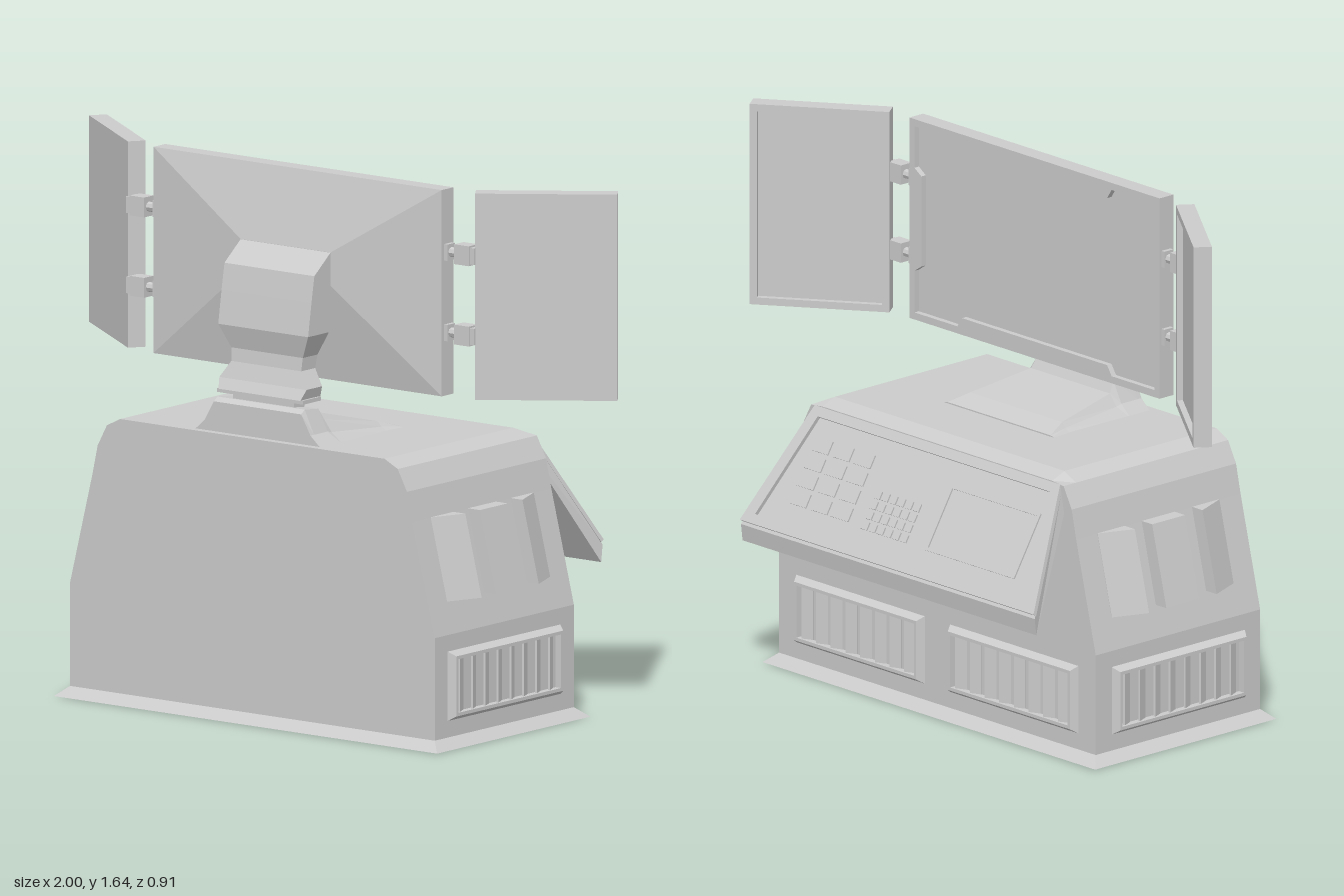
import * as THREE from 'three';

const grey = new THREE.MeshStandardMaterial({ color: 0xcccccc, flatShading: true, side: THREE.DoubleSide });

function add(parent, name, geometry, x = 0, y = 0, z = 0) {
  const mesh = new THREE.Mesh(geometry, grey);
  mesh.name = name;
  mesh.position.set(x, y, z);
  parent.add(mesh);
  return mesh;
}

function group(parent, name, x = 0, y = 0, z = 0, turn = 0) {
  const g = new THREE.Group();
  g.name = name;
  g.position.set(x, y, z);
  g.rotation.y = turn;
  parent.add(g);
  return g;
}

const box = (w, h, d) => new THREE.BoxGeometry(w, h, d);

// Skin over equal-length rings of [x, y, z], counter-clockwise seen from the last ring
function loft(rings, capped = true) {
  const out = [];
  const n = rings[0].length;
  for (let i = 0; i < rings.length - 1; i++) {
    for (let j = 0; j < n; j++) {
      const k = (j + 1) % n;
      const [a, b, c, d] = [rings[i][j], rings[i][k], rings[i + 1][k], rings[i + 1][j]];
      out.push(...a, ...b, ...c, ...a, ...c, ...d);
    }
  }
  const cap = (ring, flip) => {
    const mid = [0, 1, 2].map(q => ring.reduce((s, p) => s + p[q], 0) / n);
    ring.forEach((p, j) => {
      const next = ring[(j + 1) % n];
      out.push(...mid, ...(flip ? next : p), ...(flip ? p : next));
    });
  };
  if (capped) {
    cap(rings[0], true);
    cap(rings[rings.length - 1], false);
  }
  const g = new THREE.BufferGeometry();
  g.setAttribute('position', new THREE.Float32BufferAttribute(out, 3));
  g.computeVertexNormals();
  return g;
}

const flatRing = (y, w, zb, zf) => [[w, y, zf], [w, y, zb], [-w, y, zb], [-w, y, zf]];
const faceRing = (w, h, z) => [[w, -h, z], [w, h, z], [-w, h, z], [-w, -h, z]];
const mirrored = half => [...half, ...half.slice().reverse().map(([x, y]) => [-x, y])];
const shapeOf = pts => new THREE.Shape(pts.map(p => new THREE.Vector2(...p)));

function frameGeometry(outer, inner, depth) {
  const shape = shapeOf(outer);
  shape.holes.push(shapeOf(inner));
  return new THREE.ExtrudeGeometry(shape, { depth, bevelEnabled: false });
}

// Bevelled grille facing +z
function vent(parent, name, w, h, x, y, z, turn) {
  const g = group(parent, name, x, y, z, turn);
  const a = w / 2, b = h / 2;
  add(g, 'ventFrame', loft([faceRing(a, b, 0), faceRing(a - 0.014, b - 0.014, 0.022),
    faceRing(a - 0.024, b - 0.024, 0.022), faceRing(a - 0.024, b - 0.024, 0)], false));
  const count = 8, pitch = (w - 0.048) / count;
  for (let i = 0; i < count; i++) {
    const slat = add(g, 'ventSlat', box(pitch * 0.6, h - 0.045, 0.006), (i - (count - 1) / 2) * pitch, 0, 0.006);
    slat.rotation.y = 0.4;
  }
}

// Monitor whose recessed face looks toward -z; tab thickens the middles of the rim
function monitor(g, w, h, t, tab) {
  const a = w / 2, b = h / 2, i = a - 0.022, j = b - 0.022;
  add(g, 'monitorShell', box(w, h, t - 0.018), 0, 0, 0.009);
  let inner = [[i, -j], [i, j], [-i, j], [-i, -j]];
  if (tab) {
    const p = a * 0.58, q = b * 0.45, e = 0.02;
    inner = mirrored([[p, -j + tab], [p + e, -j], [i, -j], [i, -q - e], [i - tab, -q],
      [i - tab, q], [i, q + e], [i, j], [p + e, j], [p, j - tab]]);
  }
  add(g, 'monitorBezel', frameGeometry([[a, -b], [a, b], [-a, b], [-a, -b]], inner, 0.018), 0, 0, -t / 2);
}

export function createModel() {
  const model = new THREE.Group();
  model.name = 'controlStation';

  // Cabinet with sloped shoulders and a flared skirt
  const outline = mirrored([[0.69, 0.03], [0.69, 0.34], [0.605, 0.68], [0.585, 0.77], [0.55, 0.835], [0.5, 0.86]]);
  const section = (z, top) => outline.map(([x, y]) => [x, Math.min(y, top), z]);
  add(model, 'cabinet', loft([section(-0.25, 0.84), section(-0.2, 1), section(0.417, 1)]));
  add(model, 'skirt', loft([flatRing(0, 0.725, -0.285, 0.45), flatRing(0.03, 0.69, -0.25, 0.417)]));

  // Grilles on both sides and on the back
  for (const s of [1, -1]) {
    vent(model, 'sideVent', 0.54, 0.21, s * 0.69, 0.185, 0.085, s * Math.PI / 2);
    vent(model, 'backVent', 0.56, 0.21, s * 0.335, 0.185, -0.25, Math.PI);
  }

  // Three fins on each sloped flank: wedges outside, a block between
  const fin = (z0, h0, z1, h1) => loft([[0.435, 0.666], [0.682, 0.604]].map(([y, x]) =>
    [[x - 0.02, y, z0], [x + h0, y, z0], [x + h1, y, z1], [x - 0.02, y, z1]]));
  for (const s of [1, -1]) {
    const fins = group(model, 'sideFins', 0, 0, 0.083, s > 0 ? 0 : Math.PI);
    add(fins, 'fin', fin(0.247, 0.002, 0.137, 0.046));
    add(fins, 'fin', fin(0.067, 0.046, -0.067, 0.046));
    add(fins, 'fin', fin(-0.137, 0.046, -0.247, 0.002));
  }

  // Sloping control desk; local y runs up the slope and z points out of it
  const desk = group(model, 'controlDesk');
  const up = new THREE.Vector3(0, 0.853, 0.522), out = new THREE.Vector3(0, 0.522, -0.853);
  desk.applyMatrix4(new THREE.Matrix4().makeBasis(new THREE.Vector3(-1, 0, 0), up, out).setPosition(0, 0.837, -0.25));
  const deskRing = (low, z) => [[0.64, -low, z], [0.535, 0, z], [-0.535, 0, z], [-0.64, -low, z]];
  add(desk, 'deskSlab', loft([deskRing(0.446, -0.045), deskRing(0.405, -0.012)]));
  add(desk, 'deskRim', frameGeometry(mirrored([[0.64, -0.395], [0.535, 0]]),
    mirrored([[0.59, -0.365], [0.505, -0.03]]), 0.013), 0, 0, -0.013);
  add(desk, 'deskDisplay', frameGeometry([[0.11, -0.31], [0.5, -0.31], [0.5, -0.1], [0.11, -0.1]],
    [[0.12, -0.3], [0.49, -0.3], [0.49, -0.11], [0.12, -0.11]], 0.005), 0, 0, -0.012);
  const keys = (cols, rows, x, y, dx, dy) => {
    for (let c = 0; c < cols; c++) {
      for (let r = 0; r < rows; r++) {
        add(desk, 'key', box(dx * 0.8, dy * 0.75, 0.006), x - (c + 0.5) * dx, y - (r + 0.5) * dy, -0.01);
      }
    }
  };
  keys(6, 4, 0.03, -0.18, 0.034, 0.033);
  keys(3, 4, -0.22, -0.08, 0.092, 0.057);

  // Pedestal lofted from back to front: z, foot, shoulder and crown half widths, shoulder and top heights
  const pedestal = [[0, 0.245, 0.235, 0.225, 0.862, 0.864], [0.07, 0.24, 0.215, 0.2, 0.87, 0.885],
    [0.29, 0.24, 0.2, 0.172, 0.885, 0.92], [0.31, 0.24, 0.2, 0.165, 0.89, 0.955],
    [0.375, 0.24, 0.2, 0.165, 0.89, 0.962], [0.392, 0.24, 0.2, 0.165, 0.89, 0.95]];
  add(model, 'pedestal', loft(pedestal.map(([z, a, b, c, y1, y2]) =>
    mirrored([[a, 0.855], [b, y1], [c, y2]]).map(([x, y]) => [x, y, z]))));
  add(model, 'neckSpindle', box(0.23, 0.03, 0.05), 0, 0.97, 0.338);
  add(model, 'neckCollar', box(0.325, 0.012, 0.085), 0, 0.983, 0.337);

  // Waisted neck: height, half width, back z, front z
  const neck = [[0.988, 0.155, 0.287, 0.383], [1.02, 0.165, 0.292, 0.366], [1.07, 0.132, 0.283, 0.35],
    [1.11, 0.135, 0.276, 0.346], [1.18, 0.17, 0.265, 0.365], [1.28, 0.17, 0.265, 0.349],
    [1.31, 0.17, 0.245, 0.344], [1.36, 0.17, 0.22, 0.335], [1.42, 0.17, 0.22, 0.257]];
  add(model, 'neck', loft(neck.map(r => flatRing(...r))));

  // Main monitor with a tapered housing
  const main = group(model, 'mainMonitor', 0, 1.333, 0.172);
  monitor(main, 1.09, 0.624, 0.056, 0.03);
  const taper = faceRing(0.17, 0.05, 0.086).map(([x, y, z]) => [x, y + 0.037, z]);
  add(main, 'monitorHousing', loft([faceRing(0.545, 0.312, 0.028), taper]));

  // Angled wing monitors and their hinges
  for (const s of [1, -1]) {
    const wing = group(model, 'wingMonitor', s * 0.812, 1.333, 0.035, s * 0.626);
    monitor(wing, 0.423, 0.624, 0.055, 0);
    for (const y of [1.212, 1.455]) {
      const hinge = group(model, 'hinge', s * 0.6, y, 0.17);
      const rod = add(hinge, 'hingeRod', new THREE.CylinderGeometry(0.015, 0.015, 0.11, 8));
      rod.rotation.z = Math.PI / 2;
      add(hinge, 'hingeBlock', box(0.055, 0.06, 0.045), s * 0.014);
      add(hinge, 'hingeFlange', box(0.016, 0.05, 0.036), -s * 0.05);
      add(hinge, 'hingeFlange', box(0.016, 0.05, 0.036), s * 0.05);
    }
  }
  return model;
}
